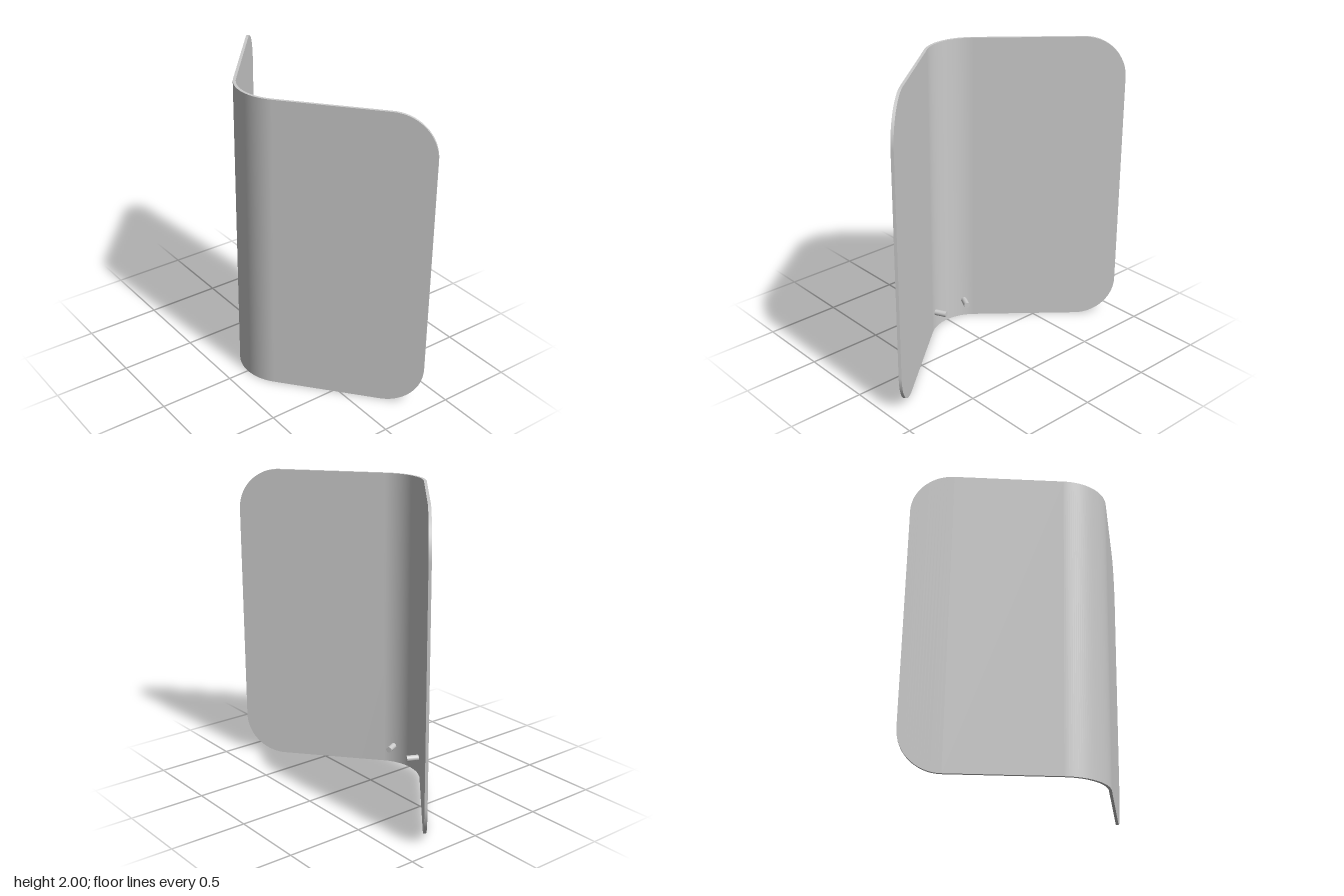
import * as THREE from 'three';

const ANGLE = THREE.MathUtils.degToRad(39.8); // bend of each wing
const R = 0.31;          // outer bend radius
const CZ = 0.045;        // z of the bend axis
const THICK = 0.018;
const HEIGHT = 2;
const CORNER = 0.27;
const ARC = R * ANGLE;
const HALF = ARC + 0.975; // half the unrolled width

// Point on the bent sheet: s runs across the width, depth goes inward
function bend(s, y, depth) {
  const side = Math.sign(s), d = Math.abs(s);
  const a = Math.min(d, ARC) / R, flat = Math.max(d - ARC, 0), r = R - depth;
  return new THREE.Vector3(
    side * (r * Math.sin(a) + flat * Math.cos(a)), y,
    CZ + r * Math.cos(a) - flat * Math.sin(a));
}

// Smooth ribbon between two rows of points
function ribbon(a, b) {
  const n = a.length, index = [];
  for (let i = 0; i < n - 1; i++) index.push(i, i + 1, n + i + 1, i, n + i + 1, n + i);
  const g = new THREE.BufferGeometry().setFromPoints([...a, ...b]);
  g.setIndex(index);
  g.computeVertexNormals();
  return g;
}

export function createModel() {
  const group = new THREE.Group();
  const material = new THREE.MeshStandardMaterial({ color: 0xcccccc });
  const add = (name, geometry, parent = group) => {
    const mesh = new THREE.Mesh(geometry, material);
    mesh.name = name;
    parent.add(mesh);
    return mesh;
  };

  // Columns across the sheet, each with its lower height
  const right = [];
  for (let i = 1; i <= 16; i++) right.push([ARC * i / 16, 0]);
  for (let i = 0; i <= 20; i++) {
    const t = i / 20 * Math.PI / 2;
    right.push([HALF - CORNER + CORNER * Math.sin(t), CORNER * (1 - Math.cos(t))]);
  }
  const left = right.map(([s, y]) => [-s, y]).reverse();
  const bottom = [...left, [0, 0], ...right];
  const top = bottom.map(([s, y]) => [s, HEIGHT - y]);
  const place = (row, depth) => row.map(([s, y]) => bend(s, y, depth));

  // Bent panel: two faces and the rim around them
  const panel = new THREE.Group();
  panel.name = 'bentPanel';
  group.add(panel);
  add('frontFace', ribbon(place(bottom, 0), place(top, 0)), panel);
  add('backFace', ribbon(place(top, THICK), place(bottom, THICK)), panel);
  const loop = [...bottom, ...top.slice().reverse(), bottom[0]];
  add('rim', ribbon(place(loop, THICK), place(loop, 0)), panel);

  // Two small pegs standing on the inside of the bend
  const inner = R - THICK + 0.004, tip = 0.211;
  for (const side of [-1, 1]) {
    const a = side * THREE.MathUtils.degToRad(26);
    const dir = new THREE.Vector3(Math.sin(a), 0, Math.cos(a));
    const peg = add(side > 0 ? 'leftPeg' : 'rightPeg',
      new THREE.CylinderGeometry(0.02, 0.02, inner - tip, 24));
    peg.quaternion.setFromUnitVectors(new THREE.Vector3(0, 1, 0), dir);
    peg.position.copy(dir).multiplyScalar((inner + tip) / 2).add(new THREE.Vector3(0, 0.12, CZ));
  }
  return group;
}
